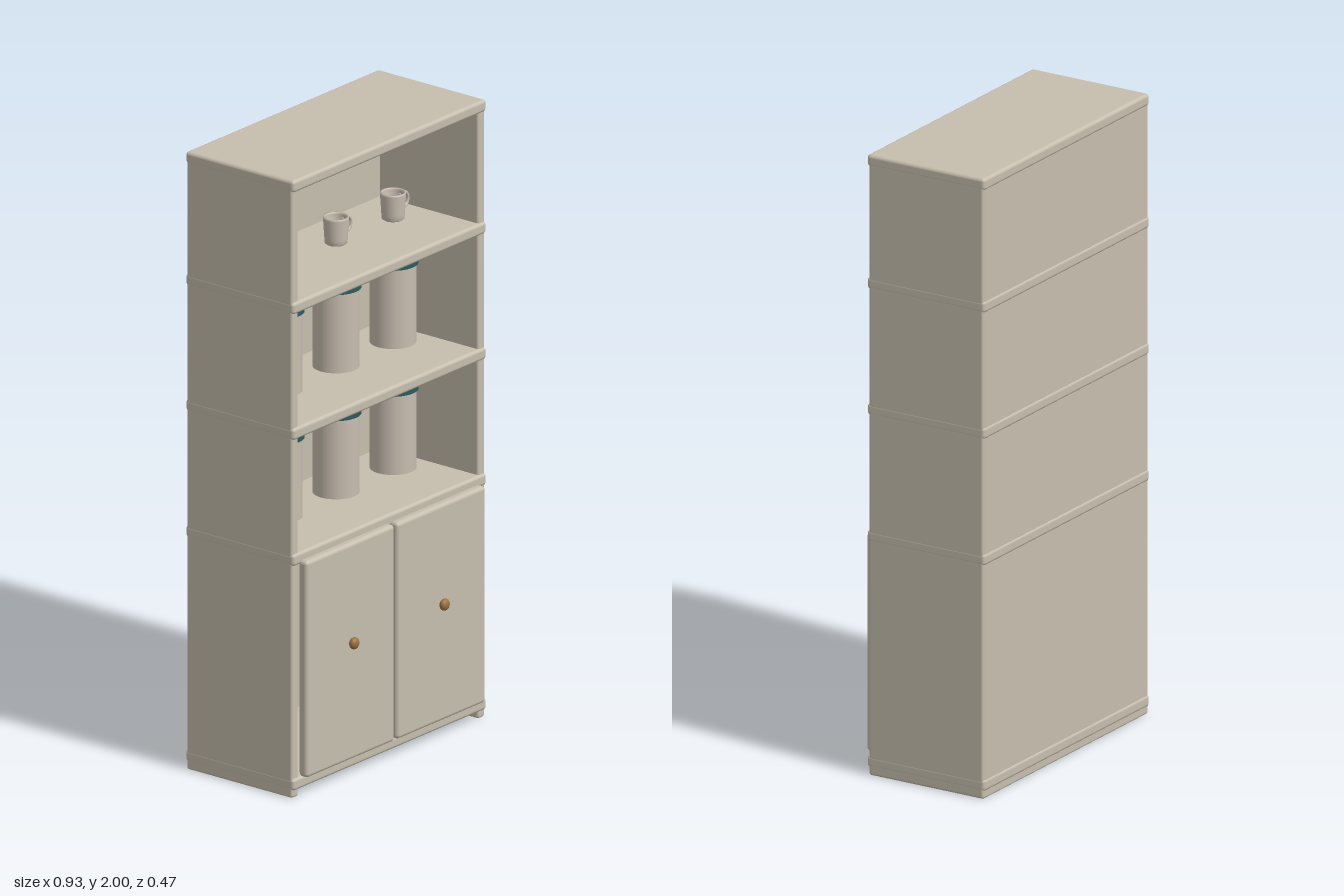
import * as THREE from 'three';
import { RoundedBoxGeometry } from 'three/addons/geometries/RoundedBoxGeometry.js';

const paint = (name, color, side = THREE.FrontSide) => {
  const m = new THREE.MeshStandardMaterial({ color, side });
  m.name = name;
  return m;
};

export function createModel() {
  const model = new THREE.Group();
  model.name = 'cupboard';
  const wood = paint('cabinetPaint', 0xc6beae);
  const ceramic = paint('ceramic', 0xc8bdb0);
  const teal = paint('lidTeal', 0x2b5c60);
  const brass = paint('knobBrass', 0x98703c);

  const add = (parent, name, geometry, material, x = 0, y = 0, z = 0) => {
    const mesh = new THREE.Mesh(geometry, material);
    mesh.name = name;
    mesh.position.set(x, y, z);
    parent.add(mesh);
    return mesh;
  };
  // Rounded board given by its minimum and maximum corners
  const board = (name, [x0, y0, z0], [x1, y1, z1], radius) =>
    add(model, name, new RoundedBoxGeometry(x1 - x0, y1 - y0, z1 - z0, 3, radius), wood,
      (x0 + x1) / 2, (y0 + y1) / 2, (z0 + z1) / 2);

  // Carcass
  board('leftSide', [0.433, 0, -0.233], [0.466, 1.997, 0.18], 0.008);
  board('rightSide', [-0.466, 0, -0.233], [-0.433, 1.997, 0.18], 0.008);
  board('backPanel', [-0.464, 0, -0.234], [0.464, 1.997, -0.204], 0.008);

  // Bottom, worktop, shelves and top, slightly proud of the carcass
  const levels = [['bottomBoard', 0.024], ['worktop', 0.751], ['lowerShelf', 1.159],
    ['upperShelf', 1.566], ['topBoard', 1.961]];
  for (const [name, y] of levels) {
    board(name, [-0.4665, y, -0.2375], [0.4665, y + 0.039, 0.187], 0.011);
  }

  // Doors and knobs
  for (const side of [-1, 1]) {
    const label = side > 0 ? 'left' : 'right';
    const inner = 0.006 * side, outer = 0.432 * side;
    board(label + 'Door', [Math.min(inner, outer), 0.062, 0.176],
      [Math.max(inner, outer), 0.764, 0.212], 0.013);
    add(model, label + 'Knob', new THREE.SphereGeometry(0.019, 24, 16), brass, 0.218 * side, 0.443, 0.223)
      .scale.z = 0.7;
  }

  const columns = [-0.275, 0, 0.275];
  const depth = -0.025;

  // Lidded canisters on the two lower shelves
  for (const y of [0.815, 1.223]) {
    for (const x of columns) {
      const canister = new THREE.Group();
      canister.name = 'canister';
      canister.position.set(x, y, depth);
      add(canister, 'canisterBody', new THREE.CylinderGeometry(0.072, 0.072, 0.26, 40), ceramic, 0, 0.13, 0);
      add(canister, 'canisterLid', new THREE.CylinderGeometry(0.078, 0.078, 0.025, 40), teal, 0, 0.268, 0);
      model.add(canister);
    }
  }

  // Hollow mugs with ring handles on the upper shelf
  const mugProfile = [[0, 0], [0.03, 0], [0.035, 0.004], [0.036, 0.02], [0.04, 0.082], [0.039, 0.088],
    [0.035, 0.088], [0.033, 0.082], [0.03, 0.012], [0, 0.01]].map(([r, y]) => new THREE.Vector2(r, y));
  for (const x of columns) {
    const mug = new THREE.Group();
    mug.name = 'mug';
    mug.position.set(x, 1.618, depth);
    add(mug, 'mugCup', new THREE.LatheGeometry(mugProfile, 32), ceramic);
    // Handle arc starts and ends inside the cup wall
    const handle = add(mug, 'mugHandle', new THREE.TorusGeometry(0.025, 0.005, 10, 28, Math.PI * 1.4),
      ceramic, 0.047, 0.049, 0);
    handle.rotation.z = -Math.PI * 0.7;
    model.add(mug);
  }

  return model;
}
